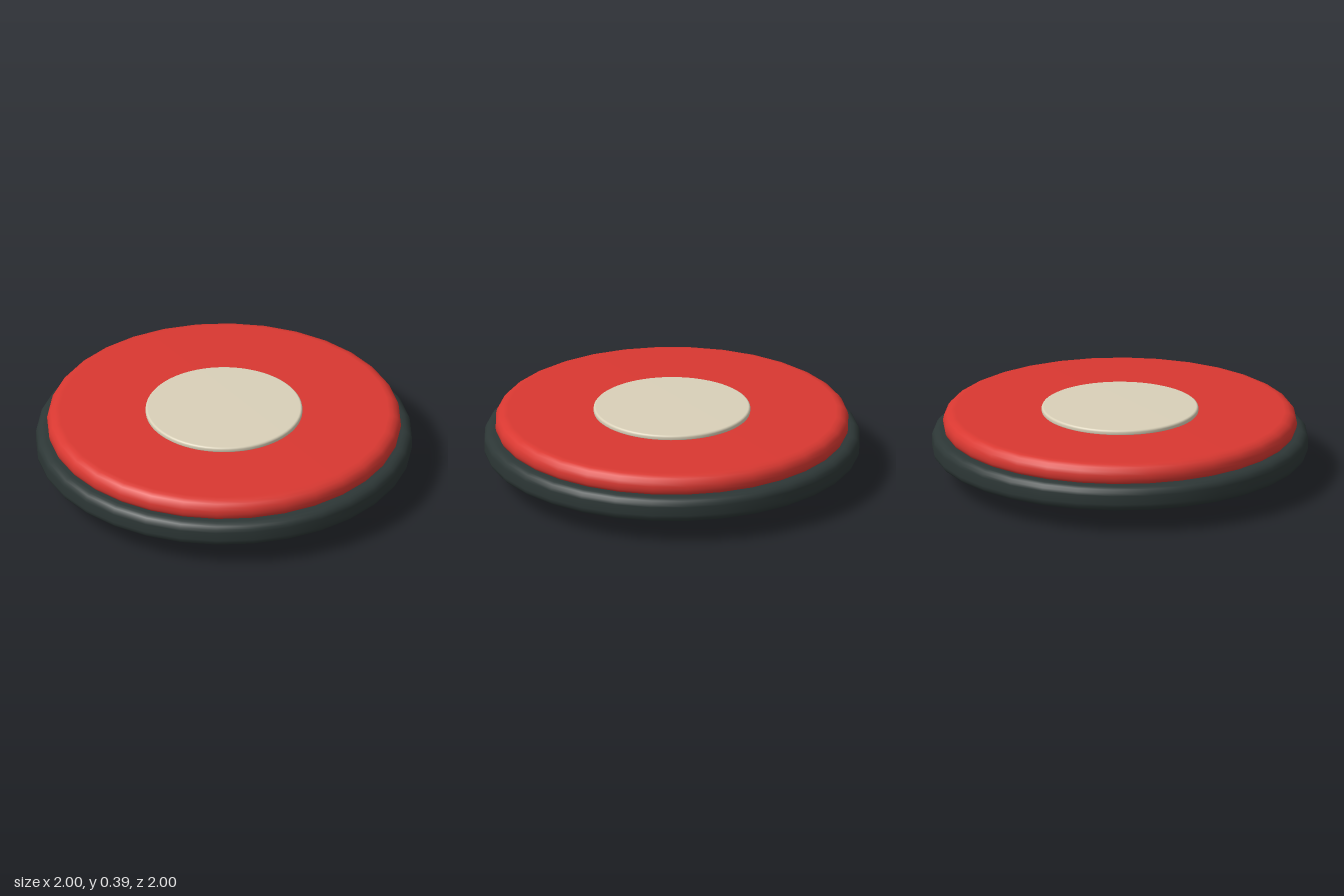
import * as THREE from 'three';

const paint = (name, color) => {
  const m = new THREE.MeshStandardMaterial({ color });
  m.name = name;
  return m;
};

// Solid disc with rounded rims; bevels are [inset, height] at bottom and top
function roundedDisc(name, material, radius, y0, y1, bottom, top, sides) {
  const pts = [new THREE.Vector2(0, y0)];
  const steps = 4;
  for (let i = 0; i <= steps; i++) {
    const a = (i / steps) * Math.PI / 2;
    pts.push(new THREE.Vector2(
      radius - bottom[0] * (1 - Math.sin(a)), y0 + bottom[1] * (1 - Math.cos(a))));
  }
  for (let i = 0; i <= steps; i++) {
    const a = (i / steps) * Math.PI / 2;
    pts.push(new THREE.Vector2(
      radius - top[0] * (1 - Math.cos(a)), y1 - top[1] * (1 - Math.sin(a))));
  }
  pts.push(new THREE.Vector2(0, y1));
  const mesh = new THREE.Mesh(new THREE.LatheGeometry(pts, sides), material);
  mesh.name = name;
  return mesh;
}

export function createModel() {
  const charcoal = paint('charcoal', 0x2d3736);
  const red = paint('red', 0xd93831);
  const cream = paint('cream', 0xd9d0b8);
  const green = paint('green', 0x2a8a4c);

  const model = new THREE.Group();
  model.name = 'roundPad';

  model.add(
    roundedDisc('stem', charcoal, 0.217, 0.003, 0.14, [0.03, 0.02], [0.005, 0.005], 32),
    roundedDisc('baseDisc', charcoal, 1, 0.125, 0.262, [0.05, 0.045], [0.05, 0.045], 32),
    roundedDisc('topDisc', red, 0.94, 0.255, 0.366, [0.03, 0.04], [0.065, 0.055], 32),
    roundedDisc('centrePlate', cream, 0.417, 0.36, 0.391, [0.01, 0.01], [0.012, 0.012], 64)
  );

  // Thin ring set into the underside of the stem
  const ring = new THREE.Mesh(new THREE.TorusGeometry(0.183, 0.013, 10, 48), green);
  ring.name = 'stemRing';
  ring.rotation.x = Math.PI / 2;
  ring.position.y = 0.013;
  model.add(ring);

  return model;
}
